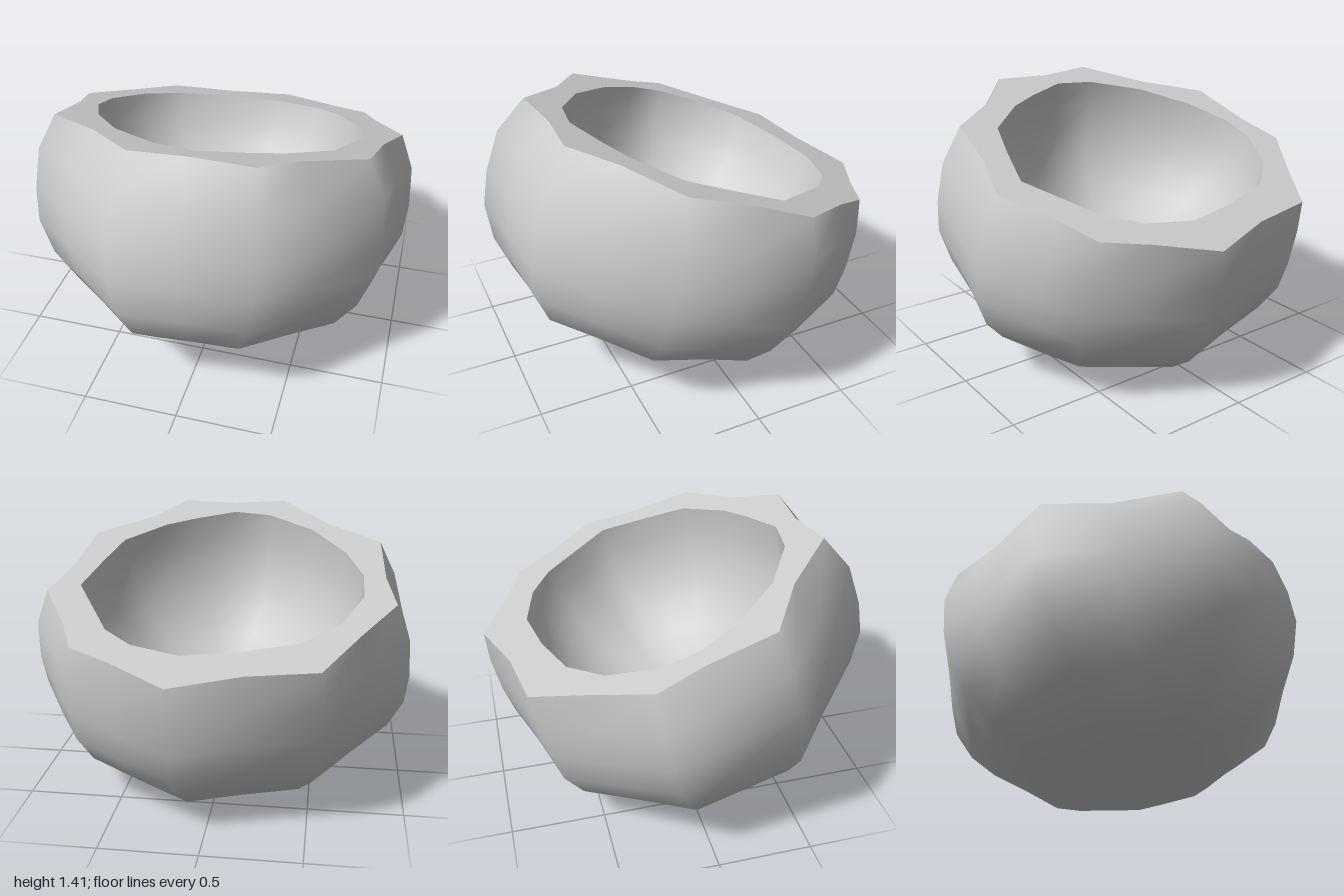
import * as THREE from 'three';

const RIM = 1.11; // height of the cut along the shell's own axis
const BOWL_DEPTH = 0.73;

// Cut edge seen from above: [x, z], clockwise, alternating ridge and groove
const outerEdge = [
  [0.15, -1], [0.44, -0.84], [0.66, -0.74], [0.74, -0.56], [0.91, -0.28], [0.83, -0.02],
  [0.79, 0.31], [0.5, 0.51], [0.33, 0.72], [0.02, 0.7], [-0.27, 0.74], [-0.54, 0.48],
  [-0.84, 0.29], [-0.86, -0.06], [-0.91, -0.3], [-0.73, -0.56], [-0.55, -0.84], [-0.2, -0.89],
];
const innerEdge = [
  [0.12, -0.765], [0.37, -0.7], [0.52, -0.59], [0.63, -0.41], [0.745, -0.22], [0.68, 0.02],
  [0.61, 0.24], [0.4, 0.42], [0.24, 0.5], [0.01, 0.59], [-0.2, 0.56], [-0.46, 0.4],
  [-0.65, 0.17], [-0.745, -0.05], [-0.745, -0.24], [-0.63, -0.48], [-0.44, -0.635], [-0.16, -0.72],
];
// Widest outline, across the shell's own axis: the grooves are shallower here
const outerBelly = [
  [0.15, -0.98], [0.45, -0.83], [0.7, -0.7], [0.82, -0.52], [1, -0.22], [0.94, 0.07],
  [0.9, 0.42], [0.62, 0.69], [0.38, 0.94], [0.02, 0.96], [-0.31, 1], [-0.67, 0.66],
  [-0.95, 0.41], [-0.98, 0.01], [-1, -0.25], [-0.78, -0.52], [-0.57, -0.79], [-0.2, -0.88],
];
// Outer wall: [blend from cut edge to belly, scale, height]
const outerProfile = [
  [1, 0.001, 0.06], [1, 0.32, 0.05], [1, 0.58, 0.065], [1, 0.79, 0.19], [1, 0.91, 0.34],
  [1, 0.985, 0.52], [1, 1, 0.7], [0.83, 1, 0.92], [0, 1, RIM],
];
// Inner wall: a rounded bowl sinking from the cut edge
const innerProfile = [];
for (let k = 0; k <= 8; k++) {
  const t = (k / 8) * Math.PI / 2;
  innerProfile.push([0, Math.max(Math.cos(t), 0.001), RIM - BOWL_DEPTH * Math.sin(t)]);
}

// Lay the edge into the tilted plane of the cut
const toPlane = (edge) => edge.map(([x, z]) => [x, 1.05 * z + 0.105]);

// Loft between the belly outline and the cut edge; the floor leans against the cut
function shell(edge, belly, profile) {
  const n = edge.length, pos = [], index = [];
  profile.forEach(([blend, scale, h], j) => {
    const depth = 1 - h / RIM;
    edge.forEach(([ex, ew], i) => {
      const x = scale * THREE.MathUtils.lerp(ex, belly[i][0], blend);
      const w = scale * THREE.MathUtils.lerp(ew, belly[i][1], blend);
      pos.push(x, h - 0.09 * w * depth, w - 0.06 * depth);
      if (j === profile.length - 1) return;
      const a = j * n + i, b = j * n + (i + 1) % n;
      index.push(a, a + n, b, b, a + n, b + n);
    });
  });
  const g = new THREE.BufferGeometry();
  g.setAttribute('position', new THREE.Float32BufferAttribute(pos, 3));
  g.setIndex(index);
  g.computeVertexNormals();
  return g;
}

export function createModel() {
  const model = new THREE.Group();
  model.name = 'hollowGourdShell';
  const grey = new THREE.MeshStandardMaterial({ color: 0xcccccc });
  grey.name = 'pale grey';

  const tilted = new THREE.Group();
  tilted.name = 'tiltedBowl';
  tilted.rotation.x = -0.31;
  tilted.position.set(0, 0.076, 0.238);
  model.add(tilted);

  const add = (name, geometry) => {
    const mesh = new THREE.Mesh(geometry, grey);
    mesh.name = name;
    tilted.add(mesh);
  };

  const outer = toPlane(outerEdge), inner = toPlane(innerEdge);
  add('outerWall', shell(outer, outerBelly, outerProfile));
  add('innerWall', shell(inner, inner, innerProfile));

  // Flat cut face between the two walls
  const points = (edge) => edge.map(([x, w]) => new THREE.Vector2(x, -w));
  const rim = new THREE.Shape(points(outer));
  rim.holes.push(new THREE.Path(points(inner)));
  add('rim', new THREE.ShapeGeometry(rim).rotateX(-Math.PI / 2).translate(0, RIM, 0));

  return model;
}
